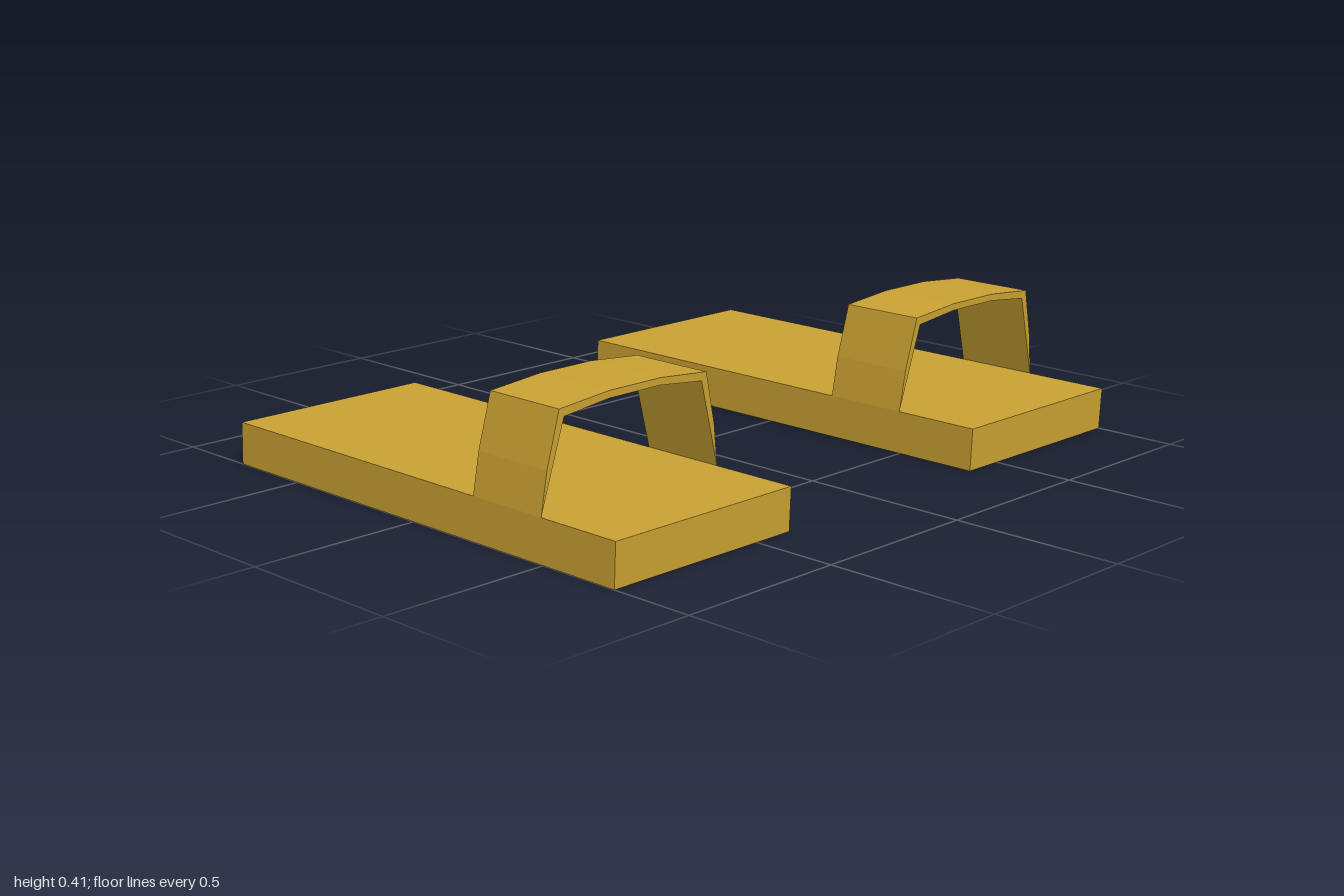
import * as THREE from 'three';

const SOLE_HEIGHT = 0.123;
const HALF_WIDTH = 0.3115;

// Lean geometry slightly forward: z shifts with height
function lean(geometry) {
  geometry.applyMatrix4(new THREE.Matrix4().set(
    1, 0, 0, 0,
    0, 1, 0, 0,
    0, 0.045, 1, 0,
    0, 0, 0, 1));
  geometry.computeVertexNormals();
  return geometry;
}

// Thin arched band, tapering to a point at each side of the sole
function strapGeometry() {
  const outer = [[HALF_WIDTH, SOLE_HEIGHT], [0.295, 0.24], [0.258, 0.39], [0.09, 0.405]];
  const inner = [[0.241, 0.368], [0.09, 0.385]];
  const mirror = (points) => points.map(([x, y]) => [-x, y]).reverse();
  const outline = [...outer, ...mirror(outer), ...mirror(inner).reverse(), ...inner.slice().reverse()];
  const shape = new THREE.Shape(outline.map(([x, y]) => new THREE.Vector2(x, y)));
  const geometry = new THREE.ExtrudeGeometry(shape, { depth: 0.254, bevelEnabled: false });
  geometry.translate(0, 0, 0.236);
  return lean(geometry);
}

function soleGeometry() {
  const geometry = new THREE.BoxGeometry(HALF_WIDTH * 2, SOLE_HEIGHT, 1.508);
  geometry.translate(0, SOLE_HEIGHT / 2, -0.002);
  return lean(geometry);
}

export function createModel() {
  const model = new THREE.Group();
  model.name = 'sandals';
  const tan = new THREE.MeshStandardMaterial({ color: 0xc9a133 });
  tan.name = 'golden tan';

  const soleShape = soleGeometry();
  const strapShape = strapGeometry();

  // One sandal on each side
  for (const [side, sign] of [['left', 1], ['right', -1]]) {
    const sandal = new THREE.Group();
    sandal.name = side + 'Sandal';
    const sole = new THREE.Mesh(soleShape, tan);
    sole.name = side + 'Sole';
    const strap = new THREE.Mesh(strapShape, tan);
    strap.name = side + 'Strap';
    sandal.add(sole, strap);
    sandal.position.x = sign * (1 - HALF_WIDTH);
    model.add(sandal);
  }
  return model;
}
